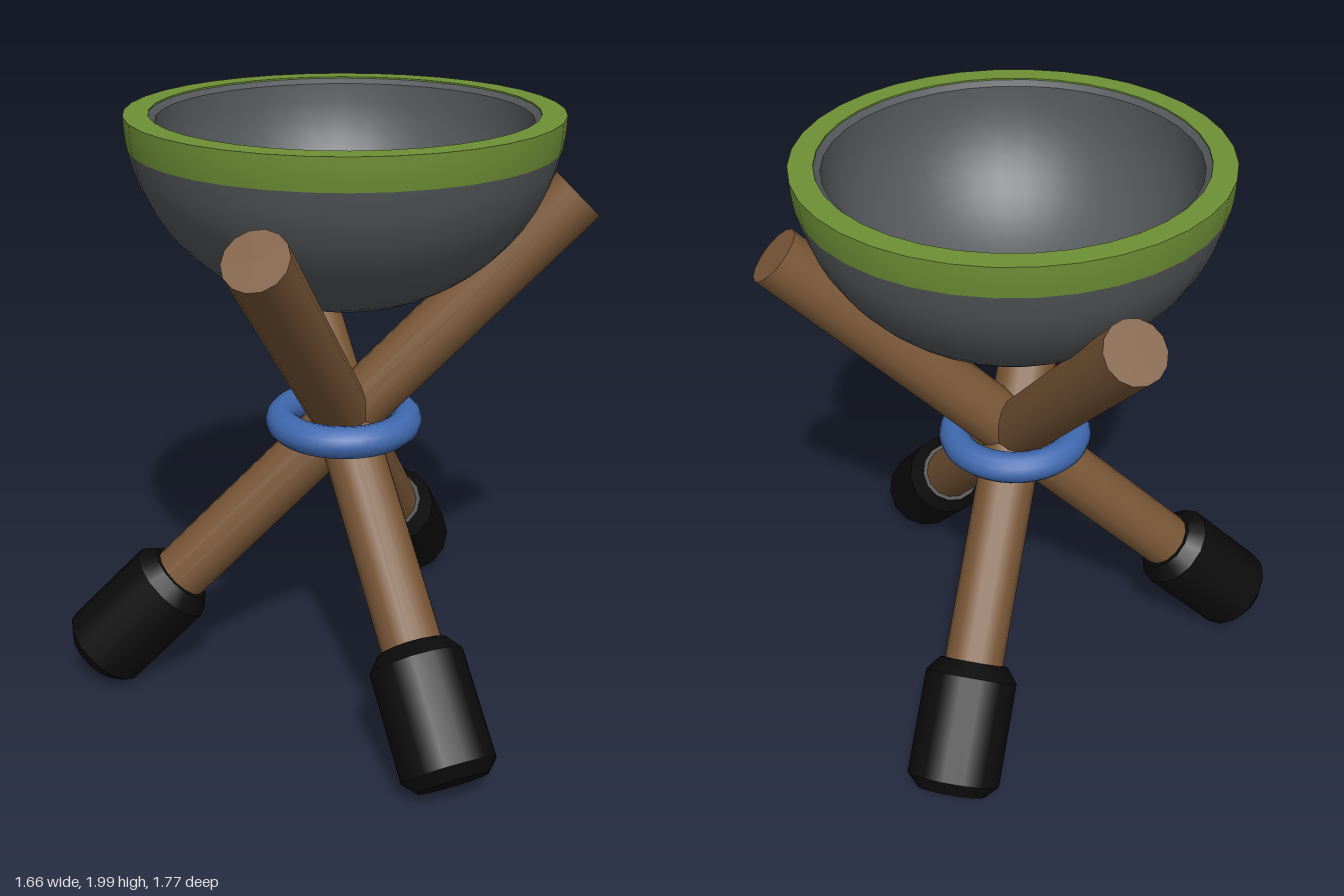
import * as THREE from 'three';
import { mergeGeometries } from 'three/addons/utils/BufferGeometryUtils.js';

const mat = (name, color) => {
  const m = new THREE.MeshStandardMaterial({ color });
  m.name = name;
  return m;
};

// Lathe made of several profiles, smooth inside each one and sharp where they meet
const lathe = (profiles, sides) => mergeGeometries(profiles.map(
  p => new THREE.LatheGeometry(p.map(([x, y]) => new THREE.Vector2(x, y)), sides)));

// Points on a quarter ellipse hanging below y = top, between two angles (0 = bottom, PI/2 = rim)
const bowlArc = (r, depth, top, from, to, n = 14) => Array.from({ length: n + 1 }, (_, i) => {
  const a = from + (to - from) * i / n;
  return [Math.max(0, r * Math.sin(a)), top - depth * Math.cos(a)];
});

export function createModel() {
  const wood = mat('wood', 0x7a5737);
  const rubber = mat('black rubber', 0x0b0b0b);
  const grey = mat('bowl grey', 0x55595b);
  const green = mat('rim green', 0x6e9036);
  const blue = mat('ring blue', 0x4069b0);

  const group = new THREE.Group();
  group.name = 'tripodBowl';
  const add = (parent, name, geometry, material) => {
    const mesh = new THREE.Mesh(geometry, material);
    mesh.name = name;
    parent.add(mesh);
    return mesh;
  };

  // Everything is arranged round one vertical axis
  const axis = new THREE.Group();
  axis.name = 'stand';
  axis.position.set(0.063, 0, 0.067);
  group.add(axis);

  // Three crossed poles with rubber feet, all meeting inside the ring
  const crossY = 0.97, below = 1.235, above = 1.06, footLength = 0.435;
  const poleGeometry = new THREE.CylinderGeometry(0.1, 0.1, above + below - 0.1, 14);
  poleGeometry.translate(0, (above - below + 0.1) / 2, 0);
  const footGeometry = lathe([
    [[0, 0], [0.115, 0]],
    [[0.115, 0], [0.155, 0.04]],
    [[0.155, 0.04], [0.155, footLength - 0.05]],
    [[0.155, footLength - 0.05], [0.115, footLength]],
    [[0.115, footLength], [0, footLength]],
  ], 14);
  footGeometry.translate(0, -below, 0);
  [0, 113, -138.5].forEach((degrees, i) => {
    const leg = new THREE.Group();
    leg.name = 'leg' + (i + 1);
    leg.position.y = crossY;
    leg.rotation.set(THREE.MathUtils.degToRad(44.8), THREE.MathUtils.degToRad(degrees), 0, 'YXZ');
    add(leg, 'pole', poleGeometry, wood);
    add(leg, 'foot', footGeometry, rubber);
    axis.add(leg);
  });

  // Ring that binds the poles
  const ring = add(axis, 'bindingRing', new THREE.TorusGeometry(0.209, 0.053, 12, 36), blue);
  ring.rotation.x = Math.PI / 2;
  ring.position.y = crossY;

  // Bowl: outer shell below the rim band, and inner shell with a narrow lip
  const bandAngle = Math.acos(0.1 / 0.62);
  add(axis, 'bowlOutside', lathe([bowlArc(0.68, 0.62, 2, 0, bandAngle)], 36), grey);
  add(axis, 'bowlInside', lathe([
    [[0.603, 1.995], [0.583, 1.98]],
    bowlArc(0.583, 0.53, 1.98, Math.PI / 2, 0),
  ], 36), grey);

  // Painted rim band
  add(axis, 'rim', lathe([
    bowlArc(0.68, 0.62, 2, bandAngle, Math.PI / 2, 3),
    [[0.68, 2], [0.603, 2]],
    [[0.603, 2], [0.603, 1.995]],
  ], 36), green);

  return group;
}
